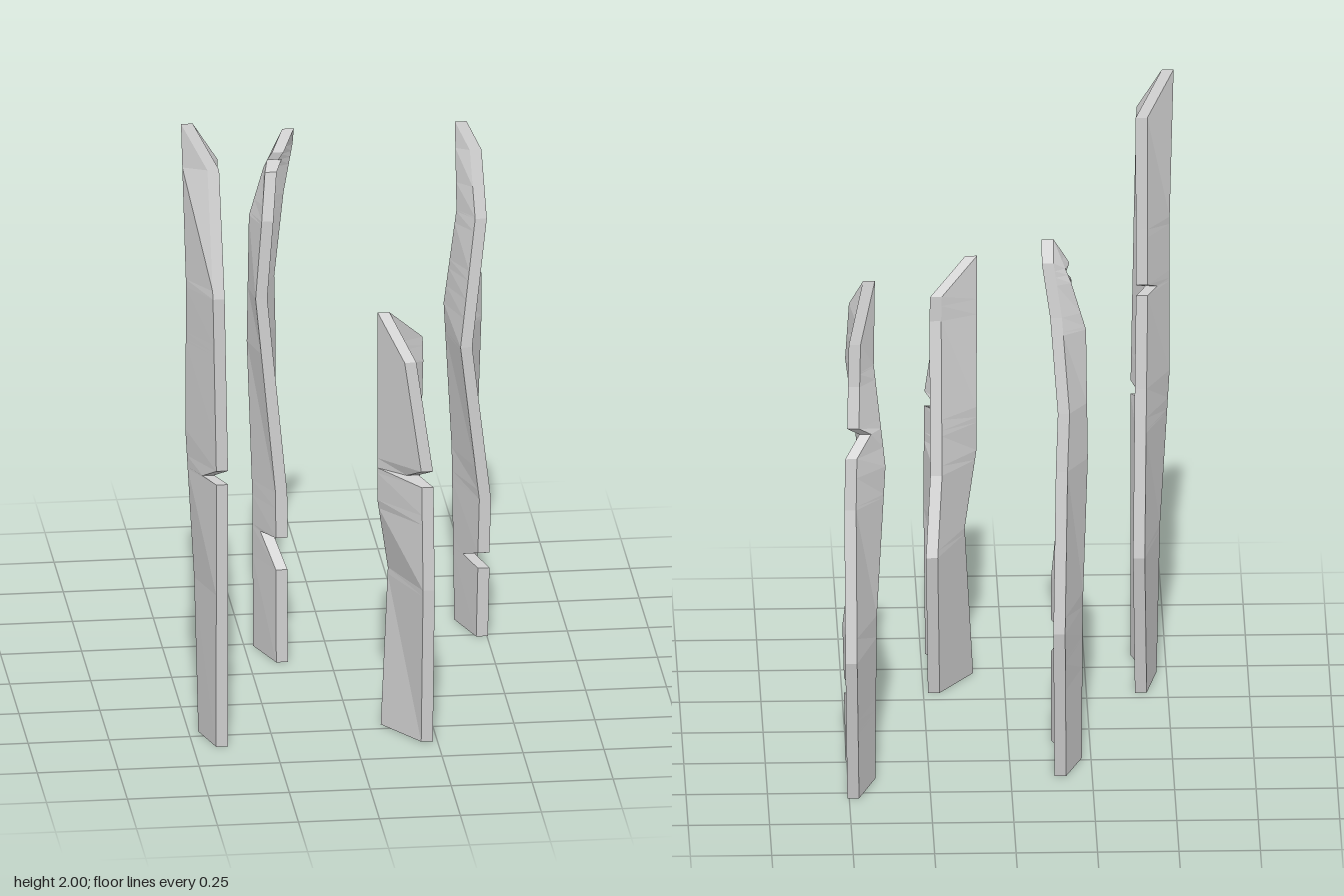
import * as THREE from 'three';

const THICKNESS = 0.036;

// Each blade: front edge, spine and back edge as [y, z, x] points, meeting at the tip.
// Dips in an edge line are the notches.
const BLADES = {
  tallBlade: {
    front: [[0, .595, -.43], [.865, .6, -.43], [.872, .535, -.465], [.91, .6, -.43], [1.475, .597, -.44],
      [1.86, .49, -.445], [2, .448, -.522]],
    spine: [[0, .46, -.47], [.5, .435, -.48], [1, .46, -.51], [1.475, .48, -.51], [2, .448, -.522]],
    back: [[0, .29, -.435], [.48, .203, -.427], [1, .305, -.435], [1.29, .353, -.44], [1.3, .406, -.47],
      [1.325, .353, -.44], [1.5, .374, -.44], [1.86, .4, -.44], [2, .448, -.522]],
  },
  curledBlade: {
    front: [[0, -.088, -.167], [.3, -.1, -.167], [.395, -.19, -.205], [.405, -.1, -.167], [.55, -.108, -.167],
      [1.18, -.14, -.225], [1.43, -.15, -.205], [1.575, -.194, -.19], [1.6, -.235, -.17],
      [1.62, -.183, -.185], [1.645, -.18, -.17], [1.71, -.21, -.135]],
    spine: [[0, -.235, -.222], [.5, -.23, -.225], [1, -.25, -.24], [1.42, -.235, -.235],
      [1.575, -.237, -.19], [1.71, -.21, -.135]],
    back: [[0, -.38, -.17], [.5, -.455, -.165], [1, -.36, -.175], [1.18, -.33, -.182],
      [1.475, -.273, -.16], [1.645, -.247, -.135], [1.71, -.21, -.135]],
  },
  shortBlade: {
    front: [[0, .623, .2], [.5, .63, .205], [.83, .605, .204], [.847, .54, .165], [.88, .6, .203],
      [1.23, .57, .155], [1.37, .495, .08]],
    spine: [[0, .464, .093], [.5, .42, .12], [.74, .46, .083], [1.37, .495, .08]],
    back: [[0, .305, .2], [.48, .223, .208], [.71, .326, .192], [1.18, .432, .192], [1.26, .432, .19],
      [1.37, .495, .08]],
  },
  bentBlade: {
    front: [[0, -.235, .467], [.225, -.235, .472], [.235, -.335, .437], [.275, -.235, .472], [.45, -.238, .477],
      [.95, -.247, .42], [1.355, -.29, .47], [1.56, -.348, .46], [1.645, -.375, .417]],
    spine: [[0, -.385, .416], [.555, -.42, .412], [1.04, -.4, .385], [1.36, -.36, .42], [1.645, -.375, .417]],
    back: [[0, -.545, .47], [.48, -.63, .478], [.94, -.51, .478], [1.1, -.485, .475], [1.16, -.432, .43],
      [1.19, -.46, .468], [1.315, -.427, .465], [1.45, -.415, .462], [1.645, -.375, .417]],
  },
};

// Point on an edge line at height y
function pointAt(line, y) {
  let i = 0;
  while (i < line.length - 2 && line[i + 1][0] < y) i++;
  const [a, b] = [line[i], line[i + 1]];
  const t = (y - a[0]) / (b[0] - a[0]);
  return [THREE.MathUtils.lerp(a[2], b[2], t), y, THREE.MathUtils.lerp(a[1], b[1], t)];
}

// Lofts V-shaped cross-sections from the base to the tip
function bladeGeometry({ front, spine, back }) {
  const lines = [front, spine, back];
  const heights = [...new Set(lines.flat().map((p) => p[0]))].sort((a, b) => a - b);
  const rings = heights.map((y) => {
    const outer = lines.map((line) => pointAt(line, y));
    const inner = outer.map(([x, h, z]) => [x + THICKNESS, h, z]).reverse();
    return [...outer, ...inner];
  });
  const positions = [];
  const quad = (a, b, c, d) => positions.push(...a, ...b, ...c, ...a, ...c, ...d);
  for (let r = 0; r < rings.length - 1; r++) {
    for (let i = 0; i < 6; i++) {
      const j = (i + 1) % 6;
      quad(rings[r][i], rings[r + 1][i], rings[r + 1][j], rings[r][j]);
    }
  }
  // flat base
  const p = rings[0];
  quad(p[0], p[1], p[4], p[5]);
  quad(p[1], p[2], p[3], p[4]);
  const geometry = new THREE.BufferGeometry();
  geometry.setAttribute('position', new THREE.Float32BufferAttribute(positions, 3));
  geometry.computeVertexNormals();
  return geometry;
}

export function createModel() {
  const group = new THREE.Group();
  group.name = 'notchedBlades';
  const material = new THREE.MeshStandardMaterial({ color: 0xcccccc, flatShading: true });
  for (const [name, lines] of Object.entries(BLADES)) {
    const mesh = new THREE.Mesh(bladeGeometry(lines), material);
    mesh.name = name;
    group.add(mesh);
  }
  return group;
}
